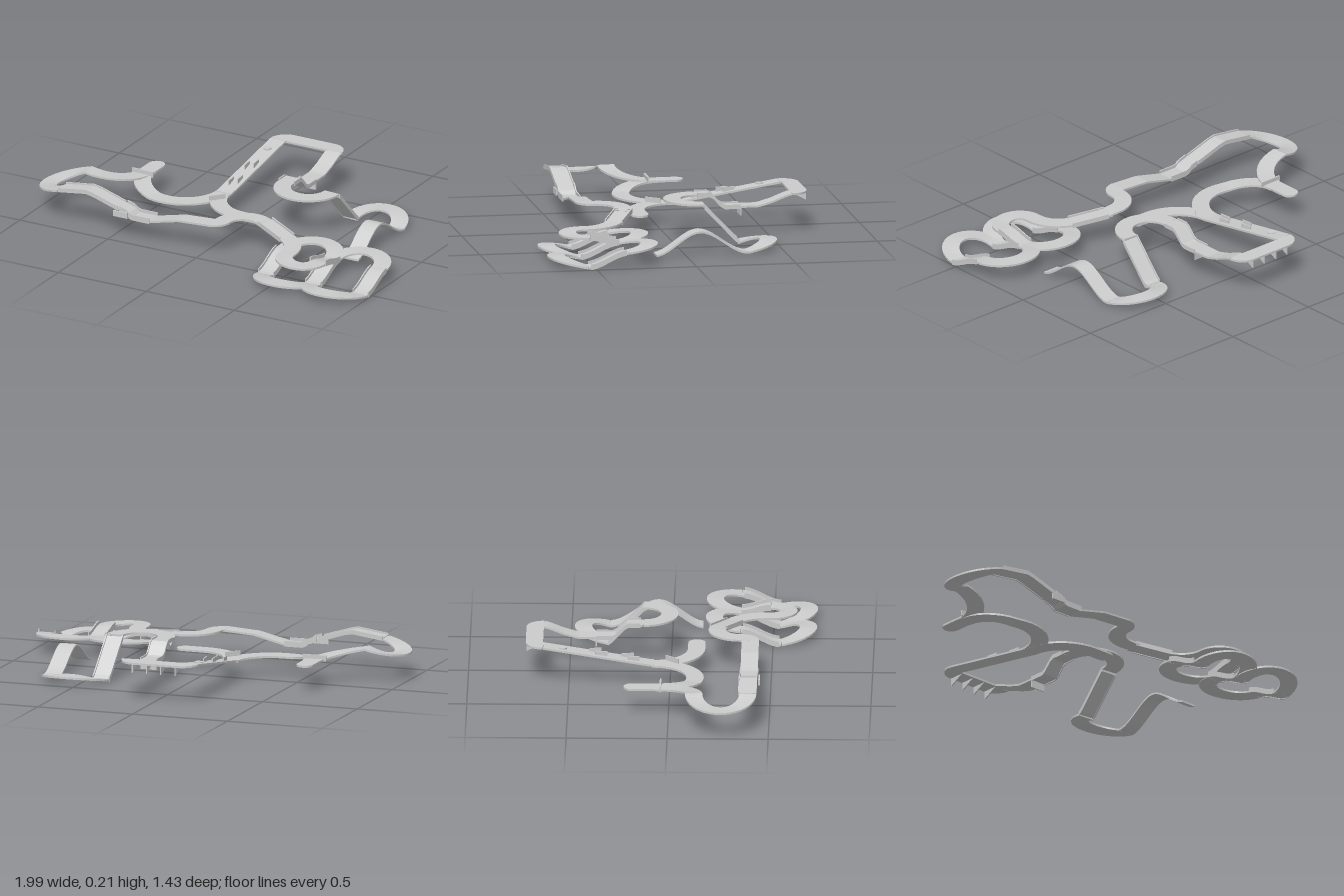
import * as THREE from 'three';

const W = 0.043; // half width of the track
const material = new THREE.MeshStandardMaterial({ color: 0xcccccc, flatShading: true, side: THREE.DoubleSide });

// Plan-view pieces as [x, z] points; angles in degrees, 90 points to +z
function line(x0, z0, x1, z1) {
  const n = Math.max(1, Math.ceil(Math.hypot(x1 - x0, z1 - z0) / 0.02));
  return Array.from({ length: n + 1 }, (_, i) => [x0 + (x1 - x0) * i / n, z0 + (z1 - z0) * i / n]);
}
function arc(cx, cz, r, a0, a1) {
  const n = Math.ceil(Math.abs(a1 - a0) / 9);
  return Array.from({ length: n + 1 }, (_, i) => {
    const a = (a0 + (a1 - a0) * i / n) * Math.PI / 180;
    return [cx + r * Math.cos(a), cz + r * Math.sin(a)];
  });
}

// Height profile: straight interpolation through ascending [position, height] pairs
const profile = (...table) => t => {
  if (t <= table[0][0]) return table[0][1];
  for (let i = 1; i < table.length; i++) {
    const [a, ya] = table[i - 1], [b, yb] = table[i];
    if (t <= b) return ya + (yb - ya) * (t - a) / (b - a);
  }
  return table[table.length - 1][1];
};
const ease = (z, z0, y0, z1, y1) => y0 + (y1 - y0) * THREE.MathUtils.smoothstep((z - z0) / (z1 - z0), 0, 1);

// Sweep a rectangle (u sideways, v up) along a path whose height is given by a rule
function sweep(plan, height, u0 = -W, u1 = W, v0 = -0.01, v1 = 0) {
  const pts = plan.filter((p, i) => !i || Math.hypot(p[0] - plan[i - 1][0], p[1] - plan[i - 1][1]) > 0.002);
  const pos = [], idx = [];
  pts.forEach(([x, z], i) => {
    const a = pts[Math.max(0, i - 1)], b = pts[Math.min(pts.length - 1, i + 1)];
    const l = Math.hypot(b[0] - a[0], b[1] - a[1]);
    const nx = (b[1] - a[1]) / l, nz = -(b[0] - a[0]) / l, y = height(x, z);
    for (const [u, v] of [[u1, v1], [u1, v0], [u0, v0], [u0, v1]]) pos.push(x + nx * u, y + v, z + nz * u);
    if (!i) return;
    for (let k = 0; k < 4; k++) {
      const p = (i - 1) * 4 + k, q = (i - 1) * 4 + (k + 1) % 4;
      idx.push(p, p + 4, q + 4, p, q + 4, q);
    }
  });
  const e = (pts.length - 1) * 4;
  idx.push(0, 1, 2, 0, 2, 3, e + 3, e + 2, e + 1, e + 3, e + 1, e);
  const g = new THREE.BufferGeometry();
  g.setAttribute('position', new THREE.Float32BufferAttribute(pos, 3));
  g.setIndex(idx);
  g.computeVertexNormals();
  return g;
}

export function createModel() {
  const model = new THREE.Group();
  const add = (name, geometry, x = 0, y = 0, z = 0, turn = 0) => {
    const m = new THREE.Mesh(geometry, material);
    m.name = name;
    m.position.set(x, y, z);
    m.rotation.y = turn;
    model.add(m);
    return m;
  };
  const track = (name, plan, height) => add(name, sweep(plan, height));
  const rails = (name, plan, height, top = 0.018) => {
    for (const s of [-1, 1]) add(name, sweep(plan, height, s * W - 0.003, s * W + 0.003, -0.014, top));
  };

  // Banked turn at the far end and the wavy lane leading to the junctions
  const bank = profile([-1, 0.12], [-0.82, 0.175]);
  const fall = profile([-0.82, 0.175], [-0.61, 0.135], [-0.45, 0.106], [0, 0.105]);
  track('bankedTurn', arc(-0.82, 0.262, 0.134, 90, 270), bank);
  track('wavyLane', arc(-0.82, -0.087, 0.215, 90, 0), fall);
  track('wavyLane', arc(-0.389, -0.087, 0.215, 180, 0), fall);
  track('spur', line(-0.607, -0.05, -0.607, -0.18), () => 0.135);
  add('spurEnd', new THREE.CylinderGeometry(W, W, 0.01, 24), -0.607, 0.13, -0.18);
  add('spurGate', new THREE.BoxGeometry(0.12, 0.03, 0.008), -0.607, 0.14, -0.04);
  track('deadEnd', [...arc(0.042, -0.087, 0.215, 180, 90), ...line(0.042, 0.128, 0.137, 0.128)], () => 0.105);
  add('deadEndCap', new THREE.CylinderGeometry(W, W, 0.01, 24), 0.137, 0.1, 0.128);
  add('junctionGate', new THREE.BoxGeometry(0.085, 0.025, 0.006), -0.155, 0.118, 0.01, 0.85);

  // Back bridge: up one leg, across, and down the other
  const legHeight = profile([-0.63, 0.195], [-0.09, 0.108]);
  track('backLeftLeg', line(-0.17, -0.08, -0.17, -0.627), (x, z) => legHeight(z));
  track('backBar', [...arc(-0.125, -0.627, 0.045, 180, 270), ...arc(0.103, -0.627, 0.045, 270, 360)], () => 0.195);
  const dip = profile([-0.627, 0.195], [-0.6, 0.188], [-0.53, 0.16], [-0.46, 0.14], [-0.28, 0.14], [-0.22, 0.205]);
  const dipY = (x, z) => dip(z);
  const backRight = line(0.148, -0.627, 0.148, -0.14);
  track('backRightLeg', backRight, dipY);
  rails('backRightRail', line(0.148, -0.37, 0.148, -0.15), dipY, 0.008);
  add('dipStop', new THREE.BoxGeometry(0.086, 0.042, 0.006), 0.148, 0.112, -0.37);

  // Wedge fins below the back bridge
  const fin = new THREE.Shape([[-0.04, 0], [0.04, 0], [0.04, -0.042]].map(p => new THREE.Vector2(...p)));
  const finGeometry = new THREE.ExtrudeGeometry(fin, { depth: 0.006, bevelEnabled: false });
  for (let i = 0; i < 4; i++) add('bridgeFin', finGeometry, -0.12 + i * 0.075, 0.186, -0.672, Math.PI / 2);

  // Small baffles and a peg on the left leg
  for (const [x, z] of [[-0.185, -0.34], [-0.15, -0.37], [-0.185, -0.18], [-0.15, -0.21]])
    add('baffle', new THREE.BoxGeometry(0.006, 0.025, 0.06), x, legHeight(z) + 0.008, z, 0.1);
  add('peg', new THREE.CylinderGeometry(0.02, 0.02, 0.008, 16), -0.175, legHeight(-0.53) + 0.003, -0.53);

  // High turn, steep ramp, banked turn and humped straight
  track('highTurn', arc(0.28, -0.14, 0.132, 180, 0), () => 0.205);
  const rampY = profile([-0.31, 0.015], [-0.13, 0.205]);
  const ramp = line(0.412, -0.14, 0.42, -0.315);
  track('steepRamp', ramp, (x, z) => rampY(z));
  rails('rampRail', ramp, (x, z) => rampY(z), 0.01);
  track('lowBankedTurn', arc(0.551, -0.31, 0.131, 180, 360), (x, z) => 0.012 + (-0.31 - z) * 0.25);
  track('humpStraight', line(0.682, -0.31, 0.682, 0.15), (x, z) =>
    z < -0.07 ? ease(z, -0.31, 0.012, -0.07, 0.123) : ease(z, -0.07, 0.123, 0.16, 0.01));

  // Front straight with its crest and dip
  const front = profile([-0.82, 0.178], [-0.66, 0.2], [-0.62, 0.192], [-0.42, 0.13],
    [-0.41, 0.112], [-0.3, 0.112], [-0.14, 0.15], [0.02, 0.16]);
  track('frontStraight', line(-0.82, 0.394, 0.02, 0.394), front);
  rails('crestRail', line(-0.82, 0.394, -0.48, 0.394), front, 0.008);
  rails('dipRail', line(-0.47, 0.394, -0.3, 0.394), front, 0.015);
  add('sideTab', new THREE.BoxGeometry(0.08, 0.03, 0.008), -0.46, 0.12, 0.446);

  // S-bends running down to the double loop
  const bends = profile([0.02, 0.16], [0.2, 0.156], [0.41, 0.125], [0.64, 0.11]);
  const diagonal = line(0.241, 0.23, 0.41, 0.31);
  track('sBends', [
    ...arc(0.017, 0.345, 0.05, 90, 0), ...arc(0.185, 0.345, 0.118, 180, 298),
    ...diagonal, ...arc(0.3255, 0.469, 0.18, 298, 360), ...arc(0.595, 0.485, 0.09, 180, 0),
  ], bends);
  rails('diagonalRail', diagonal, bends, 0.01);
  const drop = line(0.684, 0.485, 0.684, 0.34);
  const dropY = (x, z) => ease(z, 0.34, 0.08, 0.485, 0.11);
  track('middleDrop', drop, dropY);
  rails('middleRail', drop, dropY);

  // Double loop: two ovals with banked ends and sloping sides
  const topBank = (x, z) => 0.08 + (0.34 - z) * 0.13;
  const lowBank = (x, z) => 0.013 + (z - 0.54) * 0.24;
  const slope = (x, z) => ease(z, 0.34, 0.08, 0.54, 0.013);
  for (const cx of [0.548, 0.818]) {
    track('ovalUpperTurn', arc(cx, 0.34, 0.133, 180, 360), topBank);
    track('ovalLowerTurn', arc(cx, 0.54, 0.133, 180, 0), lowBank);
  }
  for (const x of [0.415, 0.683, 0.951]) {
    track('ovalSide', line(x, 0.34, x, 0.54), slope);
    rails('ovalSideRail', line(x, 0.35, x, 0.53), slope, 0.014);
  }
  return model;
}
